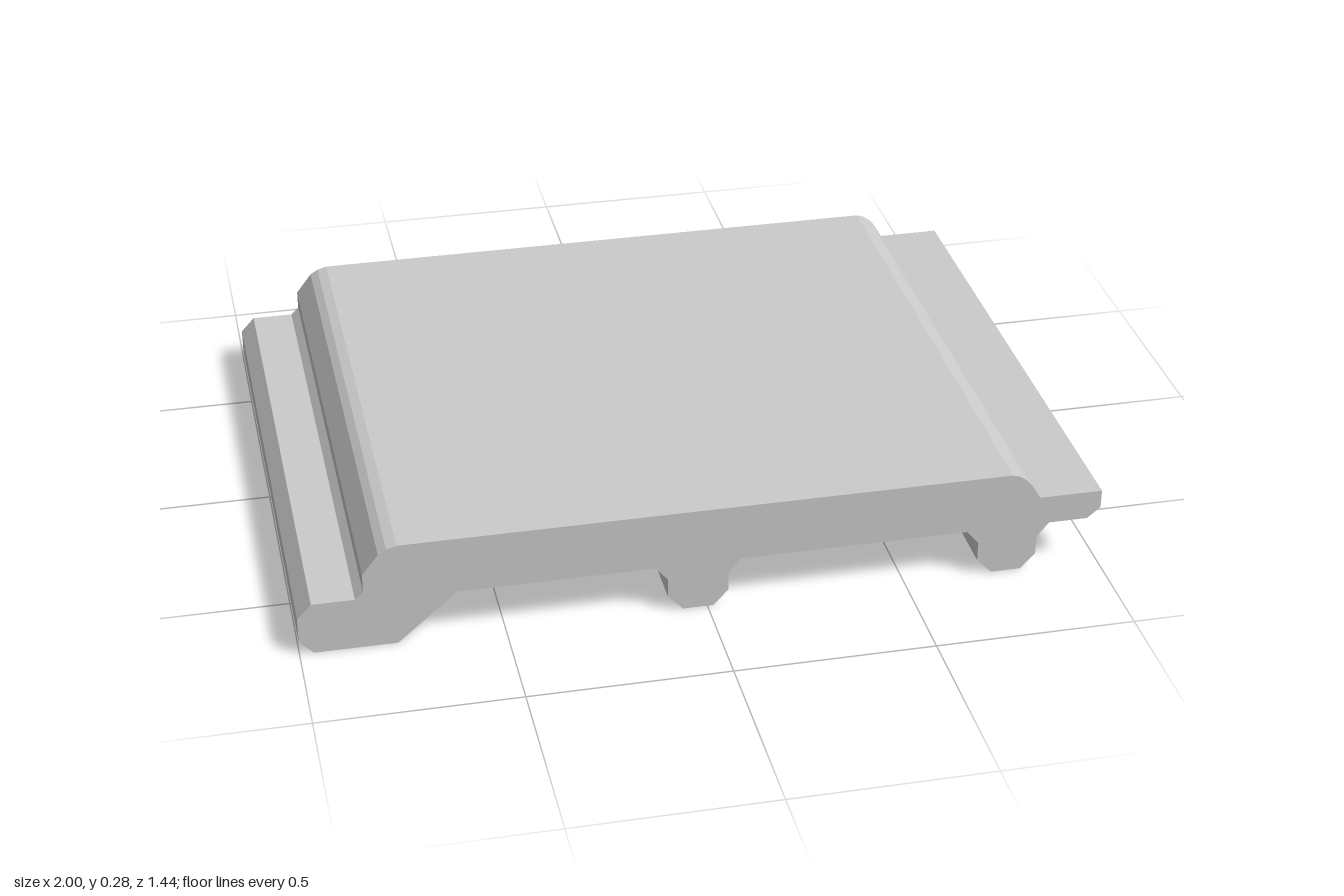
import * as THREE from 'three';

const DEPTH = 1.44;
const TOP = 0.277, UNDER = 0.127;

// Underside rib, traced from its right root to its left root
const rib = (x) => [
  [x + 0.105, UNDER], [x + 0.075, 0.09], [x + 0.075, 0.04], [x + 0.038, 0],
  [x - 0.038, 0], [x - 0.076, 0.04], [x - 0.076, 0.09], [x - 0.107, UNDER],
];

export function createModel() {
  const group = new THREE.Group();
  group.name = 'claddingBoard';

  // Cross-section of the board, clockwise from the lower left lip
  const shape = new THREE.Shape();
  const lineTo = (pts) => pts.forEach(([x, y]) => shape.lineTo(x, y));
  shape.moveTo(-1, 0.035);
  // left lip, step and rounded shoulder
  lineTo([[-1, 0.1], [-0.965, 0.138], [-0.86, 0.138], [-0.84, 0.157], [-0.84, 0.205]]);
  lineTo([[-0.8, 0.257], [-0.78, 0.27], [-0.755, TOP]]);
  // flat top, right shoulder and tongue
  lineTo([[0.765, TOP], [0.785, 0.271], [0.803, 0.258], [0.818, 0.24], [0.84, 0.203]]);
  lineTo([[1, 0.203], [1, 0.155], [0.967, UNDER]]);
  // underside with two ribs and the sloped heel
  lineTo([...rib(0.763), ...rib(-0.023)]);
  lineTo([[-0.615, UNDER], [-0.762, 0], [-0.965, 0]]);
  shape.closePath();

  const geometry = new THREE.ExtrudeGeometry(shape, { depth: DEPTH, bevelEnabled: false });
  geometry.translate(0, 0, -DEPTH / 2);
  const board = new THREE.Mesh(
    geometry,
    new THREE.MeshStandardMaterial({ color: 0xcccccc, flatShading: true }),
  );
  board.name = 'board';
  group.add(board);
  return group;
}
